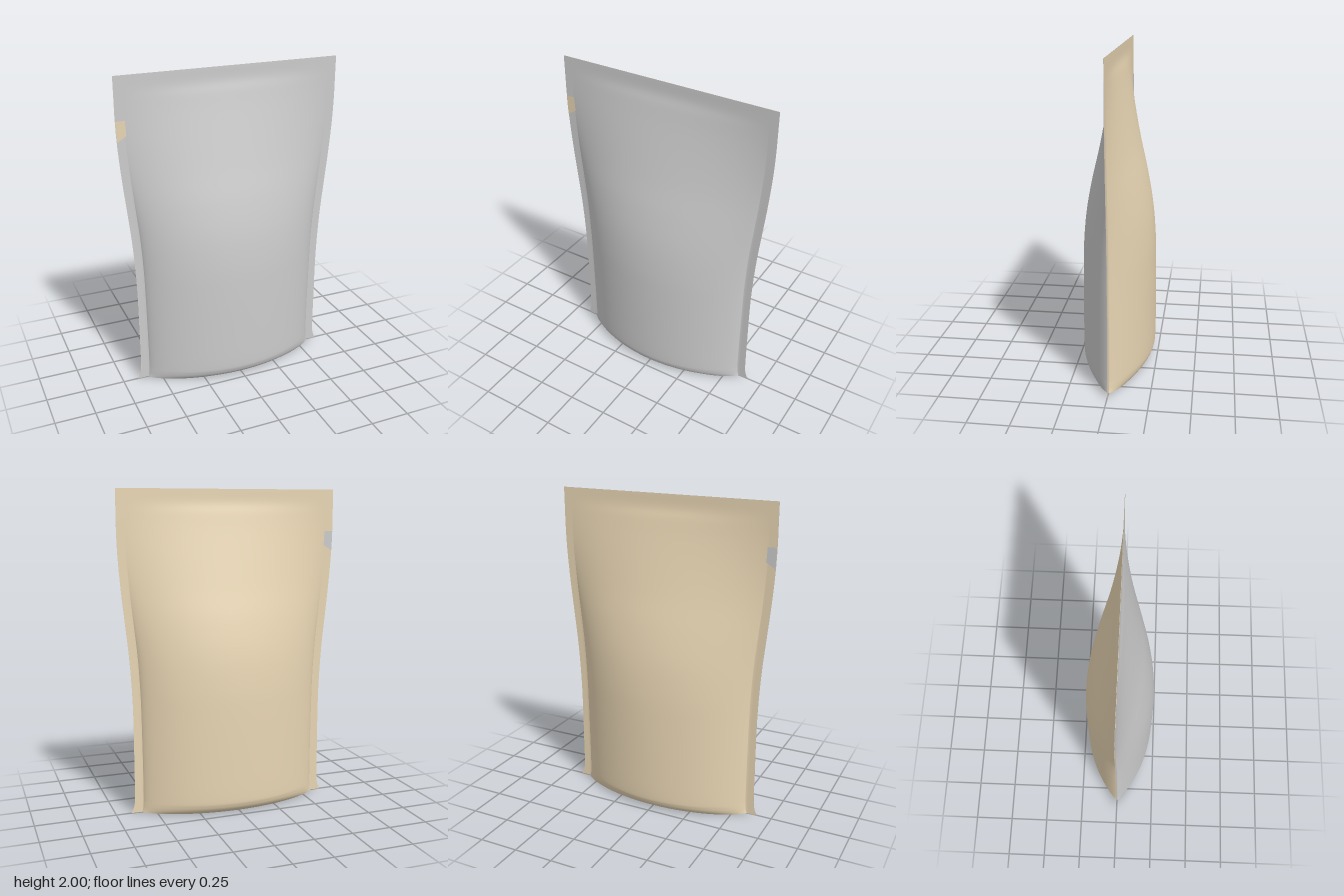
import * as THREE from 'three';

const grey = new THREE.MeshStandardMaterial({ color: 0xcccccc, side: THREE.DoubleSide });
const tan = new THREE.MeshStandardMaterial({ color: 0xe8d5b3, side: THREE.DoubleSide });

// Each level: height, outer half width, pillow half width, depth, fullness exponent
const levels = [
  [0, 0.655, 0.585, 0.175, 0.75],
  [0.02, 0.643, 0.58, 0.203, 0.75],
  [0.05, 0.634, 0.577, 0.221, 0.75],
  [0.1, 0.629, 0.575, 0.228, 0.75],
  [0.3, 0.628, 0.575, 0.229, 0.75],
  [0.6, 0.628, 0.578, 0.227, 0.75],
  [0.8, 0.634, 0.583, 0.221, 0.75],
  [1.0, 0.647, 0.595, 0.202, 0.77],
  [1.2, 0.667, 0.615, 0.165, 0.82],
  [1.4, 0.687, 0.635, 0.116, 0.9],
  [1.6, 0.702, 0.65, 0.07, 1.0],
  [1.75, 0.707, 0.655, 0.037, 1.1],
  [1.85, 0.707, 0.655, 0.017, 1.2],
  [1.92, 0.707, 0.655, 0.002, 1.2],
  [2.0, 0.707, 0.655, 0, 1.2],
];
const spline = (a, b) => new THREE.CatmullRomCurve3(
  levels.map(l => new THREE.Vector3(l[a], l[0], l[b])), false, 'catmullrom', 0.5);
const outline = spline(1, 3);
const pillow = spline(2, 4);

const ROWS = 84, COLS = 48, FLANGE = 3, SEAM = 0.001;

// Points across one sheet at parameter t: flat flange, bulged pillow, flat flange
function crossSection(t, side) {
  const o = outline.getPoint(t), p = pillow.getPoint(t);
  const pts = [];
  for (let i = -FLANGE; i <= COLS + FLANGE; i++) {
    const u = -Math.cos(Math.PI * THREE.MathUtils.clamp(i / COLS, 0, 1));
    const over = Math.max(-i, i - COLS, 0) / FLANGE;
    const x = over > 0 ? Math.sign(u) * THREE.MathUtils.lerp(p.x, o.x, over) : u * p.x;
    const z = SEAM + Math.max(o.z, 0) * Math.pow(Math.max(1 - u * u, 0), p.z);
    pts.push(new THREE.Vector3(x, Math.max(o.y, 0), side * z));
  }
  return pts;
}

// Smooth sheet, wound to face outward on its side
function sheet(side) {
  const pos = [], index = [], n = COLS + 2 * FLANGE + 1;
  for (let r = 0; r <= ROWS; r++) {
    for (const v of crossSection(r / ROWS, side)) pos.push(v.x, v.y, v.z);
  }
  for (let r = 0; r < ROWS; r++) {
    for (let c = 0; c < n - 1; c++) {
      const a = r * n + c, b = a + 1, d = a + n, e = d + 1;
      if (side > 0) index.push(a, b, e, a, e, d);
      else index.push(a, e, b, a, d, e);
    }
  }
  const g = new THREE.BufferGeometry();
  g.setAttribute('position', new THREE.Float32BufferAttribute(pos, 3));
  g.setIndex(index);
  g.computeVertexNormals();
  return g;
}

function add(group, name, geometry, material) {
  const mesh = new THREE.Mesh(geometry, material);
  mesh.name = name;
  group.add(mesh);
  return mesh;
}

export function createModel() {
  const pouch = new THREE.Group();
  pouch.name = 'pouch';

  add(pouch, 'frontSheet', sheet(1), grey);
  add(pouch, 'backSheet', sheet(-1), tan);

  // Flat base closing the pillow
  const rim = crossSection(0, 1).slice(FLANGE, FLANGE + COLS + 1);
  const loop = [...rim, ...rim.slice().reverse().map(v => new THREE.Vector3(v.x, 0, -v.z))];
  const base = new THREE.ShapeGeometry(new THREE.Shape(loop.map(v => new THREE.Vector2(v.x, v.z))));
  base.rotateX(Math.PI / 2);
  add(pouch, 'base', base, tan);

  // Small tab on the right seam, seen on both faces
  const tab = new THREE.ShapeGeometry(new THREE.Shape([
    [-0.706, 1.74], [-0.65, 1.74], [-0.645, 1.65], [-0.702, 1.615],
  ].map(([x, y]) => new THREE.Vector2(x, y))));
  add(pouch, 'frontTab', tab, tan).position.z = 0.004;
  const backTab = tab.clone().rotateY(Math.PI).scale(-1, 1, 1);
  // Restore outward winding after mirroring
  backTab.setIndex(Array.from(backTab.index.array).reverse());
  backTab.computeVertexNormals();
  add(pouch, 'backTab', backTab, grey).position.z = -0.004;

  return pouch;
}
